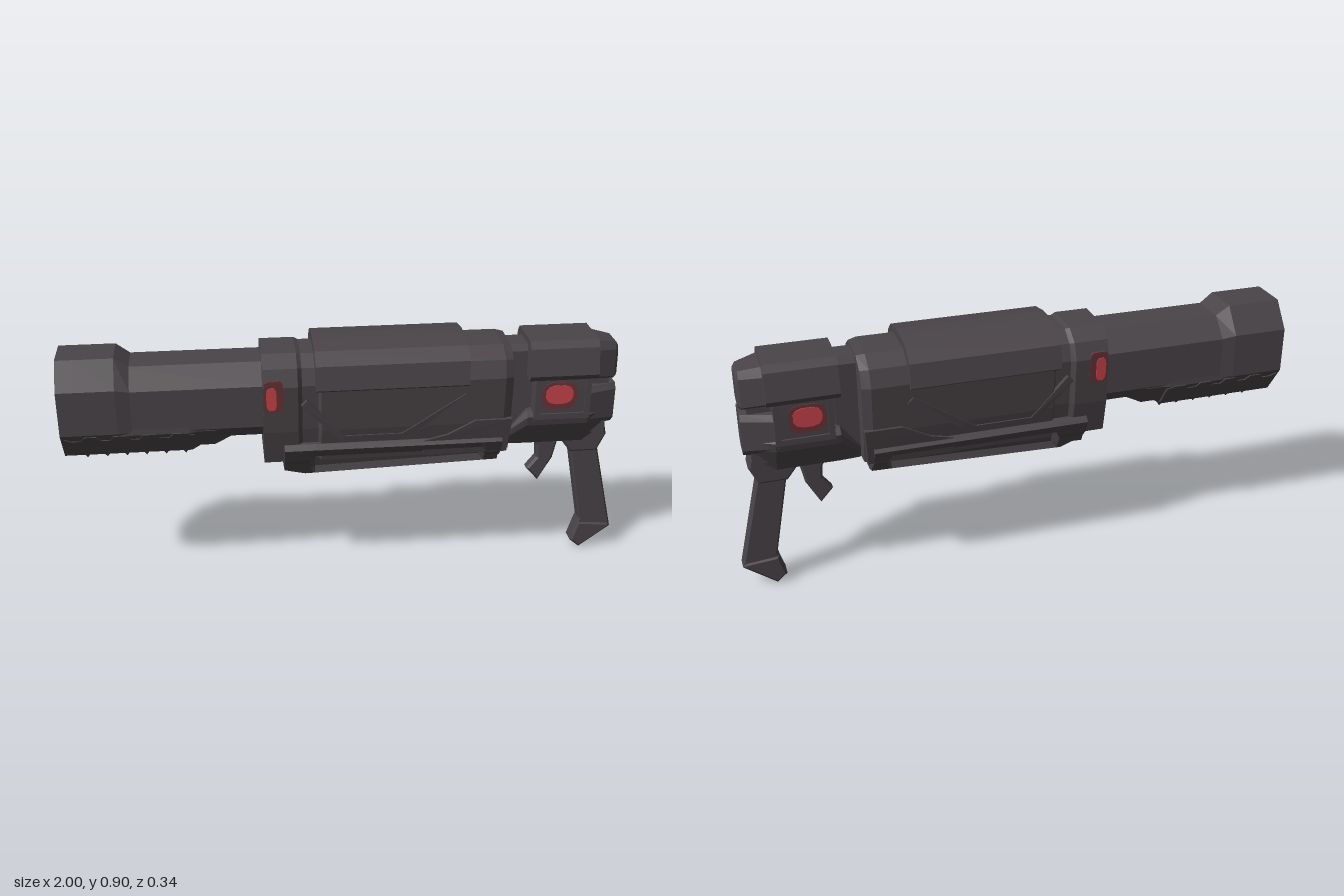
import * as THREE from 'three';

export function createModel() {
  const root = new THREE.Group();
  root.name = 'blaster';
  const mat = (name, color, flatShading = true) =>
    Object.assign(new THREE.MeshStandardMaterial({ color, flatShading, side: THREE.DoubleSide }), { name });
  const metal = mat('gunmetal', 0x4a4448);
  const red = mat('red light', 0xcc464b);
  const glow = mat('dim red surround', 0x6a3438);

  const add = (name, geo, material = metal) => {
    const m = new THREE.Mesh(geo, material);
    m.name = name;
    root.add(m);
    return m;
  };

  // Loft along x; each section is [x, half profile of [z, y] from top to bottom], mirrored in z
  function loft(name, sections) {
    const rings = sections.map(([x, half]) => [
      ...half.map(([z, y]) => [x, y, z]),
      ...half.slice().reverse().map(([z, y]) => [x, y, -z]),
    ]);
    const n = rings[0].length, pos = [];
    const tri = (a, b, c) => pos.push(...a, ...b, ...c);
    for (let i = 0; i < rings.length - 1; i++) {
      const a = rings[i], b = rings[i + 1];
      for (let j = 0; j < n; j++) {
        const k = (j + 1) % n;
        tri(a[j], a[k], b[k]);
        tri(a[j], b[k], b[j]);
      }
    }
    const cap = (r, flip) => {
      const faces = THREE.ShapeUtils.triangulateShape(r.map(p => new THREE.Vector2(-p[2], p[1])), []);
      for (const [a, b, c] of faces) flip ? tri(r[a], r[c], r[b]) : tri(r[a], r[b], r[c]);
    };
    cap(rings[0], true);
    cap(rings[rings.length - 1], false);
    const g = new THREE.BufferGeometry();
    g.setAttribute('position', new THREE.Float32BufferAttribute(pos, 3));
    g.computeVertexNormals();
    return add(name, g);
  }
  const prism = (name, x0, x1, half) => loft(name, [[x0, half], [x1, half]]);
  const shapeOf = pts => new THREE.Shape(pts.map(p => new THREE.Vector2(p[0], p[1])));

  // Flat silhouette with bevelled edges, centred on z = 0
  function slab(name, pts, halfWidth, bevel = 0.008) {
    const g = new THREE.ExtrudeGeometry(shapeOf(pts), {
      depth: 2 * (halfWidth - bevel), bevelEnabled: true, bevelThickness: bevel,
      bevelSize: bevel, bevelOffset: -bevel, bevelSegments: 1, curveSegments: 4,
    });
    g.translate(0, 0, -(halfWidth - bevel));
    return add(name, g);
  }

  // Pair of thin side plates that follow a side surface z = zAt(y)
  function sidePlates(name, pts, zAt, thick, material = metal) {
    for (const s of [1, -1]) {
      const g = new THREE.ExtrudeGeometry(shapeOf(pts), { depth: thick + 0.01, bevelEnabled: false });
      const p = g.attributes.position;
      for (let i = 0; i < p.count; i++) p.setZ(i, p.getZ(i) - 0.01 + zAt(p.getY(i)));
      g.computeVertexNormals();
      if (s < 0) g.rotateY(Math.PI).scale(-1, 1, 1), flip(g);
      add(name, g, material);
    }
  }
  // Reverse the corner order after mirroring
  function flip(g) {
    const p = g.attributes.position;
    for (let i = 0; i < p.count; i += 3) {
      const b = [p.getX(i + 1), p.getY(i + 1), p.getZ(i + 1)];
      p.setXYZ(i + 1, p.getX(i + 2), p.getY(i + 2), p.getZ(i + 2));
      p.setXYZ(i + 2, ...b);
    }
    g.computeVertexNormals();
  }
  const oval = (cx, cy, rx, ry, n = 10, power = 1) => Array.from({ length: n }, (_, i) => {
    const a = (i + 0.5) / n * Math.PI * 2, c = Math.cos(a), s = Math.sin(a);
    return [cx + rx * Math.sign(c) * Math.abs(c) ** power, cy + ry * Math.sign(s) * Math.abs(s) ** power];
  });

  // Muzzle: front slice with two bores, then the tapering collar
  const muzzle = [[0.07, 0.87], [0.14, 0.78], [0.14, 0.62], [0.065, 0.512]];
  const barrel = [[0.065, 0.836], [0.132, 0.77], [0.132, 0.62], [0.065, 0.56]];
  const face = shapeOf([...muzzle, ...muzzle.slice().reverse().map(([z, y]) => [-z, y])]);
  for (const y of [0.77, 0.61]) face.holes.push(new THREE.Path().absarc(0, y, 0.036, 0, Math.PI * 2, true));
  const faceGeo = new THREE.ExtrudeGeometry(face, { depth: 0.06, bevelEnabled: false, curveSegments: 12 });
  add('muzzleFace', faceGeo.rotateY(Math.PI / 2).translate(-1, 0, 0));
  loft('muzzleCollar', [[-0.94, muzzle], [-0.805, muzzle], [-0.757, [...barrel.slice(0, 3), [0.065, 0.512]]]]);

  // Barrel and the shroud beneath it
  prism('barrel', -0.8, -0.3, barrel);
  const shroud = [[0.13, 0.65], [0.134, 0.61], [0.065, 0.512]];
  loft('barrelShroud', [[-0.8, shroud], [-0.56, shroud], [-0.53, [[0.12, 0.65], [0.125, 0.61], [0.065, 0.53]]],
    [-0.48, [[0.12, 0.65], [0.125, 0.61], [0.065, 0.53]]], [-0.42, [[0.12, 0.65], [0.12, 0.62], [0.06, 0.558]]]]);

  // Shroud side plates with a stepped top edge
  const stepped = [[-0.99, 0.525], [-0.55, 0.525], [-0.55, 0.6]];
  for (let i = 0; i < 4; i++) {
    const x = -0.58 - i * 0.1;
    stepped.push([x, 0.612], [x - 0.04, 0.612], [x - 0.055, 0.592], [x - 0.085, 0.592]);
  }
  stepped.push([-0.99, 0.605]);
  sidePlates('shroudPlate', stepped, y => 0.14 - Math.max(0, 0.62 - y) * 0.69, 0.006);

  // Teeth under the shroud
  for (let i = 0; i < 6; i++) {
    const g = new THREE.ConeGeometry(0.05, 0.06, 4).rotateY(Math.PI / 4).rotateX(Math.PI);
    add('shroudTooth', g).position.set(-0.93 + i * 0.069, 0.5, 0);
  }

  // Main body
  const body = [[0.075, 0.866], [0.13, 0.83], [0.153, 0.77], [0.143, 0.6], [0.12, 0.475], [0.07, 0.47]];
  const inset = body.map(([z, y]) => [z * 0.9, 0.67 + (y - 0.67) * 0.97]);
  loft('body', [[-0.31, body], [-0.19, body], [-0.175, inset], [-0.12, inset], [-0.11, body], [0.53, body], [0.56, inset]]);
  const bodyZ = y => (y < 0.6 ? 0.12 + (y - 0.475) * 0.184 : 0.143 + (y - 0.6) * 0.059);

  // Top cover
  prism('topCover', -0.13, 0.4,
    [[0.03, 0.897], [0.112, 0.882], [0.158, 0.843], [0.172, 0.76], [0.152, 0.748]]);

  // Side trim: V strip and rear skirt
  sidePlates('sideTrim', [[-0.16, 0.72], [-0.03, 0.575], [0.17, 0.575], [0.21, 0.6], [0.39, 0.72], [0.41, 0.7],
    [0.22, 0.575], [0.18, 0.553], [-0.04, 0.553], [-0.18, 0.7]], bodyZ, 0.006);
  sidePlates('sideSkirt', [[0.25, 0.48], [0.55, 0.48], [0.56, 0.615], [0.43, 0.615], [0.33, 0.56], [0.25, 0.54]],
    bodyZ, 0.01);

  // Lower rail with a recessed panel along each side
  const rail = (x, recessed) => {
    const d = (x + 0.17) * 0.03;
    const mid = recessed ? [[0.13, 0.495], [0.088, 0.488], [0.07, 0.427 + d]] : [[0.13, 0.48], [0.105, 0.455], [0.09, 0.427 + d]];
    return [x, [[0.135, 0.545], [0.152, 0.528], ...mid, [0.078, 0.402 + d], [0.035, 0.387 + d]]];
  };
  const front = rail(-0.24, false);
  front[1][5] = [0.07, 0.425];
  front[1][6] = [0.035, 0.415];
  loft('lowerRail', [front, rail(-0.165, false), rail(-0.15, false), rail(-0.13, true), rail(0.46, true),
    rail(0.48, false), rail(0.53, false)]);

  // Neck and inner core
  prism('neck', 0.54, 0.64, [[0.045, 0.852], [0.06, 0.83], [0.06, 0.52], [0.045, 0.47]]);
  prism('receiverCore', 0.62, 0.93, [[0.05, 0.82], [0.05, 0.5]]);

  // Rear receiver blocks
  prism('receiverTop', 0.625, 0.87, [[0.08, 0.873], [0.1, 0.85], [0.121, 0.755], [0.108, 0.735]]);
  loft('receiverTopRear', [
    [0.86, [[0.065, 0.862], [0.085, 0.83], [0.09, 0.735], [0.07, 0.72]]],
    [0.945, [[0.04, 0.845], [0.055, 0.82], [0.06, 0.72], [0.045, 0.708]]],
    [0.955, [[0.035, 0.83], [0.045, 0.81], [0.048, 0.73], [0.04, 0.715]]]]);
  prism('receiverSide', 0.65, 0.85, [[0.098, 0.745], [0.1, 0.69], [0.1, 0.58]]);
  const low = [[0.08, 0.61], [0.098, 0.59], [0.09, 0.555], [0.045, 0.465]];
  loft('receiverLower', [[0.56, [[0.06, 0.52], [0.06, 0.51], [0.055, 0.49], [0.04, 0.465]]],
    [0.63, low], [0.85, low], [0.93, [[0.05, 0.6], [0.06, 0.59], [0.05, 0.555], [0.035, 0.52]]]]);
  loft('receiverLowerRear', [[0.84, [[0.08, 0.69], [0.095, 0.67], [0.095, 0.57], [0.06, 0.53]]],
    [0.955, [[0.045, 0.69], [0.058, 0.67], [0.058, 0.56], [0.035, 0.535]]]]);

  // Raised frame around the receiver light
  const bar = (x0, y0, x1, y1) => sidePlates('lightFrame', [[x0, y0], [x1, y0], [x1, y1], [x0, y1]], () => 0.1, 0.008);
  bar(0.65, 0.585, 0.85, 0.605);
  bar(0.65, 0.605, 0.67, 0.735);
  bar(0.83, 0.605, 0.85, 0.735);

  // Lights
  sidePlates('receiverLightSurround', oval(0.738, 0.672, 0.065, 0.052, 12, 0.6), () => 0.1, 0.002, glow);
  sidePlates('receiverLight', oval(0.738, 0.677, 0.05, 0.036, 12, 0.75), () => 0.1, 0.005, red);
  sidePlates('bodyLightSurround', oval(-0.274, 0.738, 0.034, 0.058, 12, 0.4), bodyZ, 0.002, glow);
  sidePlates('bodyLight', oval(-0.281, 0.73, 0.018, 0.044, 12, 0.6), bodyZ, 0.005, red);

  // Trigger and grip
  slab('trigger', [[0.67, 0.48], [0.775, 0.48], [0.755, 0.385], [0.705, 0.295], [0.66, 0.345], [0.695, 0.39], [0.69, 0.44]], 0.022);
  slab('gripCollar', [[0.765, 0.48], [0.815, 0.415], [0.915, 0.415], [0.945, 0.48], [0.93, 0.55], [0.77, 0.55]], 0.04);
  slab('grip', [[0.79, 0.5], [0.82, 0.41], [0.875, 0.123], [0.848, 0.032], [0.885, 0], [1.0, 0.085], [0.922, 0.417], [0.93, 0.5]], 0.028, 0.006);
  slab('gripFoot', [[0.872, 0.11], [0.848, 0.032], [0.885, 0], [1.0, 0.085], [0.99, 0.1]], 0.034);
  return root;
}
